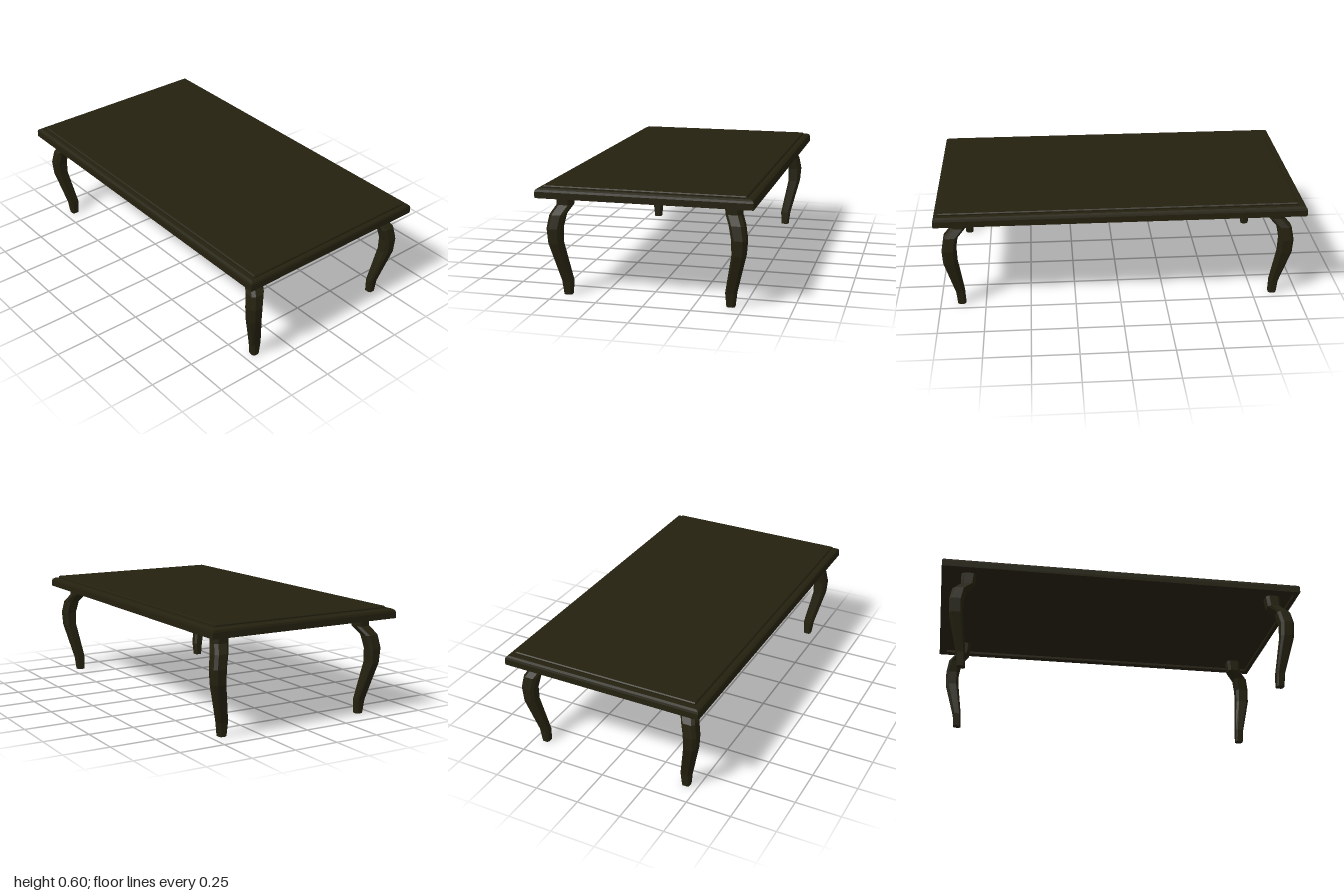
import * as THREE from 'three';

// Joins closed rings of equal length (counter-clockwise seen from above) into a faceted solid
function loft(rings) {
  const pos = [];
  const n = rings[0].length;
  const tri = (a, b, c) => pos.push(...a, ...b, ...c);
  for (let r = 0; r < rings.length - 1; r++) {
    for (let i = 0; i < n; i++) {
      const j = (i + 1) % n;
      const a = rings[r][i], b = rings[r][j], c = rings[r + 1][j], d = rings[r + 1][i];
      tri(a, b, c);
      tri(a, c, d);
    }
  }
  const first = rings[0], last = rings[rings.length - 1];
  for (let i = 1; i < n - 1; i++) {
    tri(first[0], first[i + 1], first[i]);
    tri(last[0], last[i], last[i + 1]);
  }
  const g = new THREE.BufferGeometry();
  g.setAttribute('position', new THREE.Float32BufferAttribute(pos, 3));
  g.computeVertexNormals();
  return g;
}

// Rectangle ring with half width hx, half length hz, height y and shift along z
const rect = (hx, hz, y, cz = 0) =>
  [[-hx, y, cz + hz], [hx, y, cz + hz], [hx, y, cz - hz], [-hx, y, cz - hz]];

// Rectangle ring with chamfered corners
function chamfered(x0, x1, z0, z1, y) {
  const cx = (x1 - x0) * 0.2, cz = (z1 - z0) * 0.2;
  return [
    [x0 + cx, y, z1], [x1 - cx, y, z1], [x1, y, z1 - cz], [x1, y, z0 + cz],
    [x1 - cx, y, z0], [x0 + cx, y, z0], [x0, y, z0 + cz], [x0, y, z1 - cz],
  ];
}

const SHIFT = 0.01; // panel and legs sit slightly towards the front

// Leg cross-sections: y, inner x, outer x, inner z, outer z
const LEG = [
  [0, 0.413, 0.456, 0.852, 0.896],
  [0.075, 0.407, 0.465, 0.855, 0.902],
  [0.285, 0.447, 0.517, 0.880, 0.955],
  [0.365, 0.446, 0.523, 0.882, 0.959],
  [0.437, 0.430, 0.510, 0.869, 0.946],
  [0.482, 0.404, 0.486, 0.826, 0.902],
  [0.548, 0.401, 0.482, 0.819, 0.903],
];

export function createModel() {
  const model = new THREE.Group();
  model.name = 'table';
  const wood = new THREE.MeshStandardMaterial({ color: 0x24210f });
  wood.name = 'dark wood';

  const add = (name, geometry) => {
    const mesh = new THREE.Mesh(geometry, wood);
    mesh.name = name;
    model.add(mesh);
  };

  // Table top: shallow recess below, rim, rounded edge, raised panel
  add('tableTop', loft([
    rect(0.525, 0.965, 0.547, SHIFT),
    rect(0.525, 0.965, 0.533, SHIFT),
    rect(0.565, 1, 0.533),
    rect(0.565, 1, 0.566),
    rect(0.561, 0.996, 0.577),
    rect(0.548, 0.985, 0.584),
    rect(0.527, 0.966, 0.584, SHIFT),
    rect(0.527, 0.966, 0.591, SHIFT),
    rect(0.522, 0.961, 0.596, SHIFT),
  ]));

  // Four curved legs, mirrored through their cross-sections
  for (const sx of [1, -1]) {
    for (const sz of [1, -1]) {
      const rings = LEG.map(([y, xi, xo, zi, zo]) => chamfered(
        Math.min(sx * xi, sx * xo), Math.max(sx * xi, sx * xo),
        Math.min(sz * zi, sz * zo) + SHIFT, Math.max(sz * zi, sz * zo) + SHIFT, y));
      add(`${sz > 0 ? 'front' : 'back'}${sx > 0 ? 'Left' : 'Right'}Leg`, loft(rings));
    }
  }
  return model;
}
